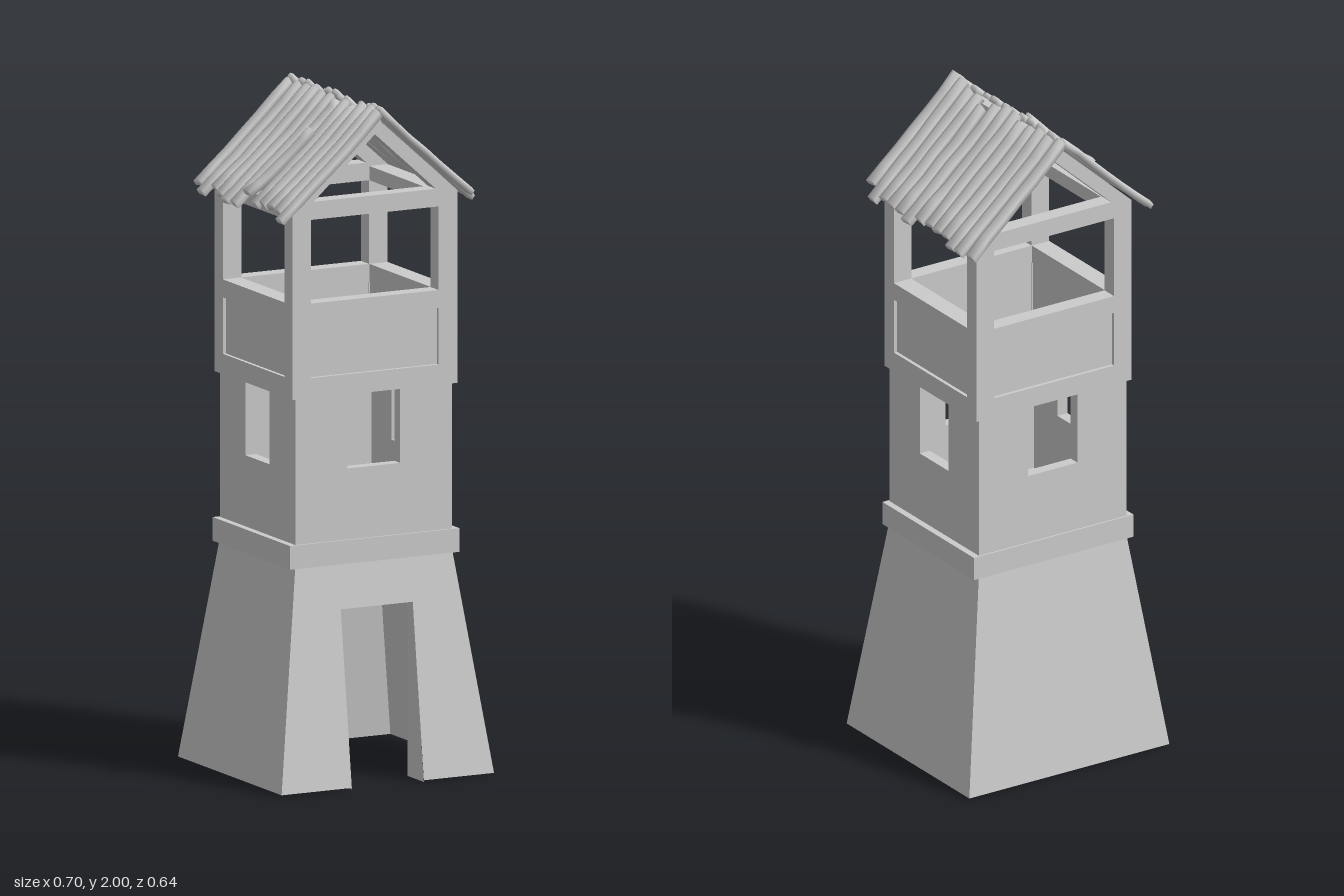
import * as THREE from 'three';
import { mergeVertices } from 'three/addons/utils/BufferGeometryUtils.js';

const material = new THREE.MeshStandardMaterial({ color: 0xcccccc, side: THREE.DoubleSide });

function add(parent, name, geometry, x = 0, y = 0, z = 0) {
  const mesh = new THREE.Mesh(geometry, material);
  mesh.name = name;
  mesh.position.set(x, y, z);
  parent.add(mesh);
  return mesh;
}

const outline = (pts) => new THREE.Shape(pts.map(([x, y]) => new THREE.Vector2(x, y)));
const rect = (w, y0, y1) => [[-w, y0], [w, y0], [w, y1], [-w, y1]];

// Wall with holes, its outer face at the given distance from the centre, turned about y
function wall(parent, name, pts, holes, thickness, distance, turn) {
  const shape = outline(pts);
  shape.holes = holes.map(outline);
  const geometry = new THREE.ExtrudeGeometry(shape, { depth: thickness, bevelEnabled: false });
  geometry.translate(0, 0, distance - thickness).rotateY(turn);
  add(parent, name, geometry);
}

// Sloping base wall: half widths and distances at bottom and top
function slopedWall(parent, name, w0, w1, d0, d1, turn, door) {
  const y0 = 0.005, y1 = 0.65;
  const pts = [[-w0, y0]];
  if (door) pts.push([-door.w, y0], [-door.w, door.h], [door.w, door.h], [door.w, y0]);
  pts.push([w0, y0], [w1, y1], [-w1, y1]);
  const geometry = new THREE.ShapeGeometry(outline(pts));
  const p = geometry.attributes.position;
  for (let i = 0; i < p.count; i++) {
    p.setZ(i, THREE.MathUtils.mapLinear(p.getY(i), y0, y1, d0, d1));
  }
  geometry.computeVertexNormals();
  geometry.rotateY(turn);
  add(parent, name, geometry);
}

let seed = 7;
const rnd = () => {
  seed = (seed * 16807) % 2147483647;
  return seed / 2147483647 - 0.5;
};

// Worn, slightly warped roof plank from x0 to x1, drifting from z0 to z1
function plank(parent, name, side, z0, x0, x1, z1 = z0, lift = 0) {
  const columns = 6;
  let geometry = new THREE.BoxGeometry(1, 0.018, 0.041, columns, 1, 3);
  geometry.deleteAttribute('normal');
  geometry.deleteAttribute('uv');
  geometry = mergeVertices(geometry);
  const bend = Array.from({ length: columns + 1 }, () => [rnd() * 0.004, rnd() * 0.006]);
  const twist = rnd() * 0.35, skew = rnd() * 0.35, sag = 0.006 + rnd() * 0.006;
  const p = geometry.attributes.position;
  for (let i = 0; i < p.count; i++) {
    const u = p.getX(i) + 0.5, ly = p.getY(i), lz = p.getZ(i);
    const [dz, dy] = bend[Math.round(u * columns)];
    const x = THREE.MathUtils.lerp(x0, x1, u) + ly * 0.5 * side + lz * skew * (u - 0.5);
    const crown = ly > 0 ? 0.006 * (1 - (lz / 0.0205) ** 2) : 0;
    const y = 1.986 - 0.9 * x * side + ly * 1.2 + crown + dy + lift
      + twist * lz * (u - 0.5) - sag * Math.sin(Math.PI * u);
    p.setXYZ(i, x, Math.min(y, 2), THREE.MathUtils.lerp(z0, z1, u) + lz + dz);
  }
  geometry.computeVertexNormals();
  add(parent, name, geometry);
}

export function createModel() {
  const model = new THREE.Group();
  const section = (name) => {
    const group = new THREE.Group();
    group.name = name;
    model.add(group);
    return group;
  };

  // Tapered base, open below, with a deep doorway
  const base = section('base');
  const door = { w: 0.118, h: 0.52 };
  for (const back of [0, 1]) {
    slopedWall(base, back ? 'baseBack' : 'baseFront', 0.348, 0.258, 0.32, 0.234, back * Math.PI, back ? null : door);
    slopedWall(base, 'baseSide', 0.32, 0.234, 0.348, 0.258, Math.PI / 2 + back * Math.PI);
  }
  for (const s of [-1, 1]) {
    const jamb = new THREE.ShapeGeometry(outline([[-0.32, 0], [-0.22, 0], [-0.22, door.h], [-0.251, door.h]]));
    add(base, 'doorJamb', jamb.rotateY(Math.PI / 2), s * door.w);
  }
  const lintel = new THREE.PlaneGeometry(2 * door.w, 0.031).rotateX(Math.PI / 2);
  add(base, 'doorLintel', lintel, 0, door.h, 0.2355);

  add(model, 'ledge', new THREE.BoxGeometry(0.555, 0.07, 0.478), 0, 0.685, 0);

  // Middle storey: four walls with a window notch under the upper storey
  const middle = section('middleStorey');
  const notched = (w, n) => [[-w, 0.72], [w, 0.72], [w, 1.15], [n, 1.15], [n, 0.93], [-n, 0.93], [-n, 1.15], [-w, 1.15]];
  for (const turn of [0, Math.PI]) {
    wall(middle, 'windowWall', notched(0.257, 0.086), [], 0.035, 0.233, turn);
    wall(middle, 'windowWallSide', notched(0.198, 0.075), [], 0.035, 0.257, turn + Math.PI / 2);
  }

  // Lookout: parapets with sunken panels, corner posts, beams and gables
  const lookout = section('lookout');
  const panel = (w) => rect(w, 1.21, 1.377);
  const opening = (w) => rect(w, 1.43, 1.677);
  const gable = [[-0.27, 1.15], [0.27, 1.15], [0.27, 1.72], [0, 1.963], [-0.27, 1.72]];
  const gableHole = [[-0.2, 1.73], [0.2, 1.73], [0, 1.91]];
  for (const turn of [0, Math.PI]) {
    wall(lookout, 'gableFrame', gable, [panel(0.209), opening(0.209), gableHole], 0.05, 0.24, turn);
    wall(lookout, 'gablePanel', panel(0.209), [], 0.036, 0.229, turn);
    wall(lookout, 'sideFrame', rect(0.239, 1.151, 1.719), [panel(0.19), opening(0.19)], 0.06, 0.27, turn + Math.PI / 2);
    wall(lookout, 'sidePanel', panel(0.19), [], 0.046, 0.259, turn + Math.PI / 2);
  }
  for (let i = 0; i < 8; i++) {
    add(lookout, 'floorBoard', new THREE.BoxGeometry(0.051, 0.018, 0.39), (i - 3.5) * 0.053, 1.162, 0);
  }

  // Roof: ridge beam and two slopes of loose planks [z, inner x, outer x]
  const roof = section('roof');
  add(roof, 'ridgeBeam', new THREE.BoxGeometry(0.03, 0.04, 0.5), 0, 1.945, 0);
  const rightPlanks = [
    [-0.282, 0, 0.32], [-0.232, 0.01, 0.327], [-0.184, 0.005, 0.325], [-0.141, 0.01, 0.31],
    [-0.095, 0.015, 0.308], [-0.05, 0, 0.305], [-0.003, 0, 0.308], [0.042, 0.01, 0.325],
    [0.088, 0.03, 0.315], [0.135, 0.01, 0.315], [0.181, 0.01, 0.31], [0.227, 0, 0.323], [0.274, -0.008, 0.292]];
  const leftPlanks = [
    [-0.263, -0.01, -0.312], [-0.209, -0.01, -0.33], [-0.158, -0.01, -0.312], [-0.108, -0.005, -0.322],
    [-0.058, -0.01, -0.332], [-0.01, -0.01, -0.328], [0.09, -0.012, -0.312], [0.136, -0.02, -0.31],
    [0.181, 0, -0.308], [0.229, 0, -0.312], [0.274, -0.01, -0.33]];
  for (const [z, a, b] of rightPlanks) plank(roof, 'roofPlank', 1, z, a, b, z + rnd() * 0.006);
  for (const [z, a, b] of leftPlanks) plank(roof, 'roofPlank', -1, z, b, a, z + rnd() * 0.006);
  // Snapped plank leaving a hole in the roof
  plank(roof, 'brokenPlank', -1, 0.04, -0.312, -0.122, 0.075, 0.022);
  plank(roof, 'brokenPlankStub', -1, 0.042, -0.125, -0.02);

  return model;
}
